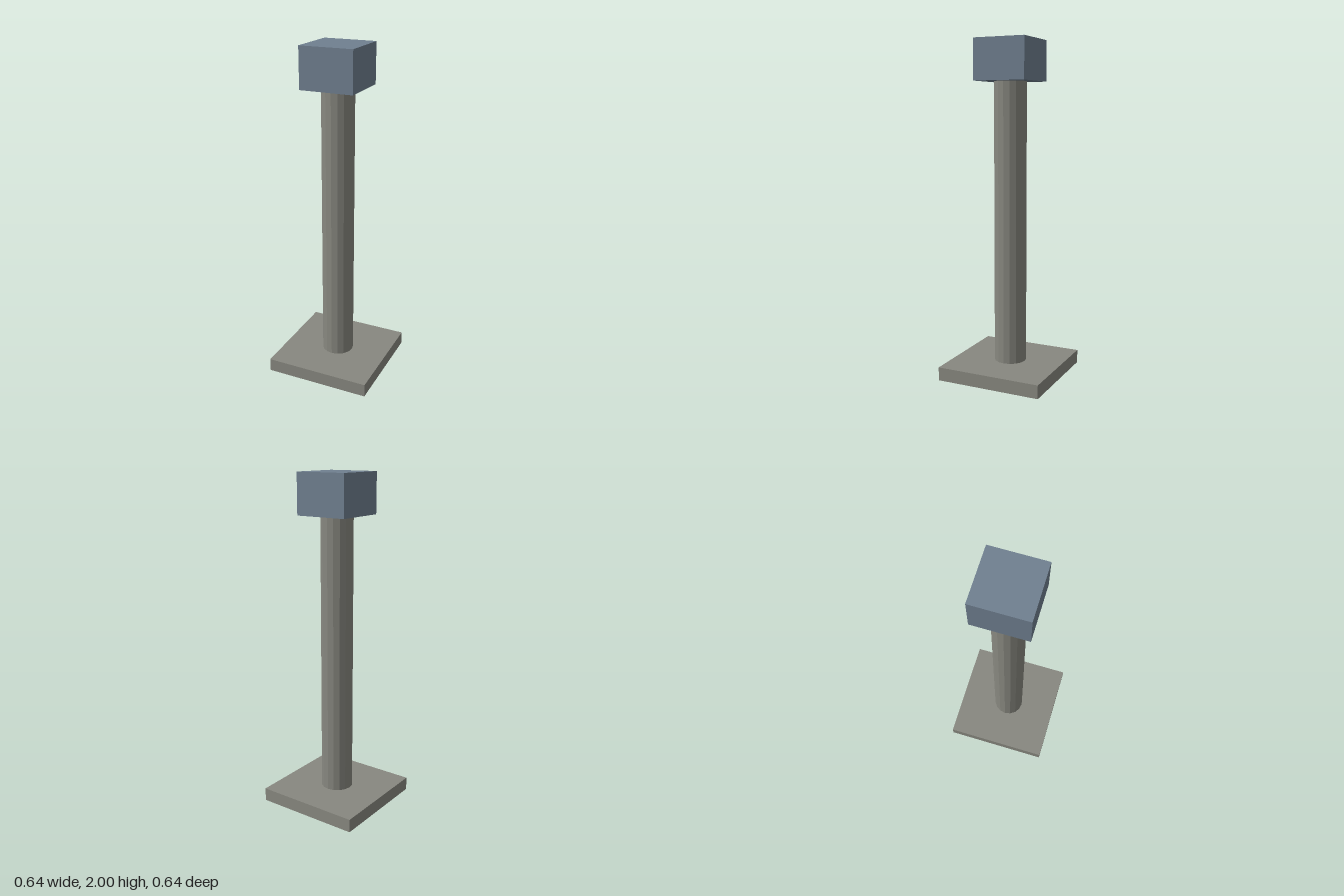
import * as THREE from 'three';

export function createModel() {
  const group = new THREE.Group();

  const stone = new THREE.MeshStandardMaterial({ color: 0x888880 });
  stone.name = 'warm grey';
  stone.flatShading = true;
  const slate = new THREE.MeshStandardMaterial({ color: 0x708090 });
  slate.name = 'slate blue';

  // Adds a named part resting at the given height
  const add = (name, geometry, material, bottom, height) => {
    const mesh = new THREE.Mesh(geometry, material);
    mesh.name = name;
    mesh.position.y = bottom + height / 2;
    group.add(mesh);
  };

  // Square foot plate, round post and head block
  add('basePlate', new THREE.BoxGeometry(0.64, 0.08, 0.64), stone, 0, 0.08);
  add('post', new THREE.CylinderGeometry(0.096, 0.096, 1.68, 16), stone, 0.08, 1.68);
  add('headBlock', new THREE.BoxGeometry(0.32, 0.24, 0.32), slate, 1.76, 0.24);

  return group;
}
